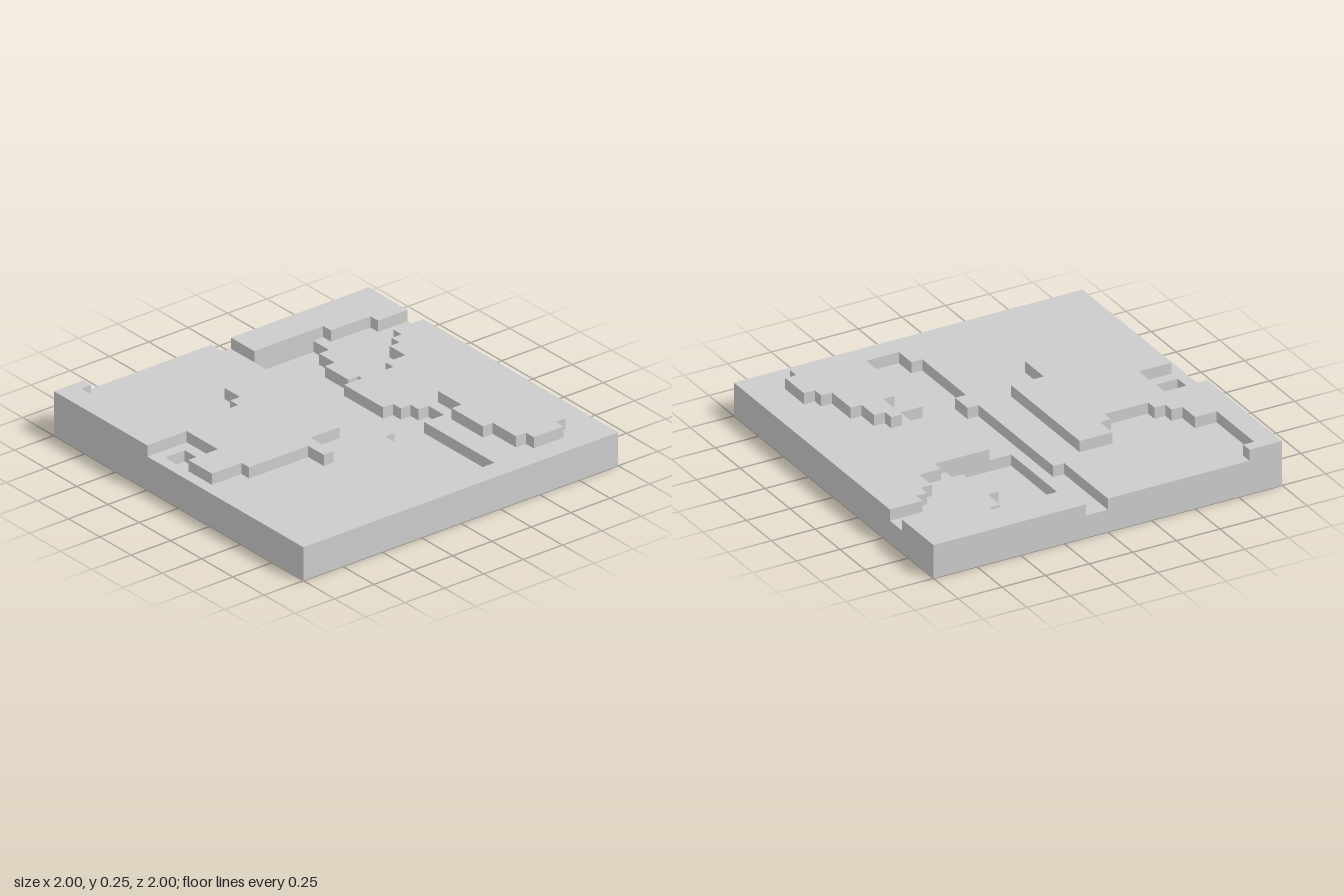
import * as THREE from 'three';

// The tile is a 32 x 32 cell terrain; heights step by one cell.
const CELL = 1 / 16;
const material = new THREE.MeshStandardMaterial({ color: 0xcccccc, flatShading: true });

// Stepped outline: start cell, then alternating "go to x", "go to z".
function steps(x, z, ...moves) {
  const points = [[x, z]];
  moves.forEach((m, i) => {
    if (i % 2 === 0) x = m; else z = m;
    points.push([x, z]);
  });
  return points.map(([a, b]) => new THREE.Vector2(a * CELL - 1, b * CELL - 1));
}

// Flat slab between two height steps, with optional holes.
function slab(name, outline, bottom, top, holes = []) {
  const shape = new THREE.Shape(outline);
  holes.forEach((h) => shape.holes.push(new THREE.Path(h)));
  const geometry = new THREE.ExtrudeGeometry(shape, { depth: (top - bottom) * CELL, bevelEnabled: false });
  geometry.rotateX(Math.PI / 2); // outline lies in x/z, depth runs down
  geometry.translate(0, top * CELL, 0);
  const mesh = new THREE.Mesh(geometry, material);
  mesh.name = name;
  return mesh;
}

export function createModel() {
  const group = new THREE.Group();
  group.name = 'terrainTile';

  const square = steps(0, 0, 32, 32, 0);
  const deepBasin = steps(3, 8, 5, 9, 7, 10, 10, 9, 11, 8, 12, 14, 3);
  const pit = steps(13, 29, 15, 31, 13);

  // Ground either side of the lake and river
  const cornerGround = steps(0, 0, 5, 3, 4, 7, 3, 14, 0);
  const mainGround = steps(7, 0, 32, 32, 0, 16, 7, 15, 19, 14, 21, 15, 28, 14, 30, 11,
    21, 9, 19, 10, 18, 11, 17, 12, 12, 7, 11, 5, 9, 4, 8, 3, 7);

  // Raised areas
  const plateau = steps(0, 29, 1, 30, 7, 28, 9, 27, 10, 26, 11, 22, 10, 21, 8, 18, 19, 21,
    22, 22, 20, 28, 19, 31, 16, 28, 12, 32, 0);
  const hill = steps(26, 3, 29, 4, 30, 7, 29, 8, 26, 9, 22, 8, 19, 7, 20, 6, 22, 5, 25, 4, 26);

  group.add(
    slab('bottomSlab', square, 0, 1),
    slab('riverBed', square, 1, 2, [deepBasin]),
    slab('cornerGround', cornerGround, 2, 3),
    slab('mainGround', mainGround, 2, 3, [pit]),
    slab('plateau', plateau, 3, 4),
    slab('hill', hill, 3, 4),
  );
  return group;
}
